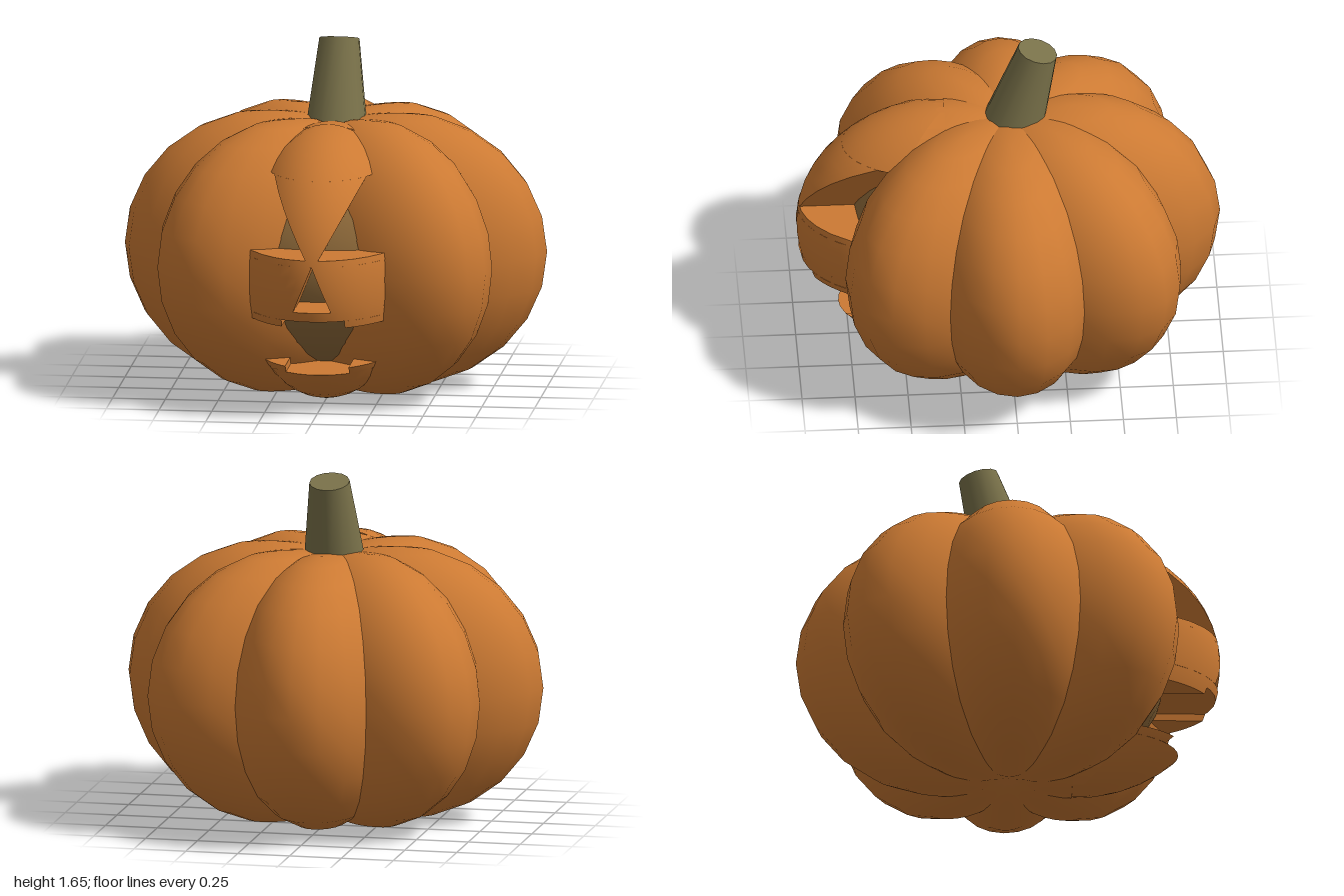
import * as THREE from 'three';

// Each lobe is an ellipsoid pushed out from the axis.
const OFF = 0.3, A = 0.7, H = 0.65, B = 0.43, CY = 0.65;
const skin = new THREE.MeshStandardMaterial({ color: 0xcc7a33, side: THREE.DoubleSide });
const dark = new THREE.MeshStandardMaterial({ color: 0x8f6a3a });
const green = new THREE.MeshStandardMaterial({ color: 0x7a724a });

function lobe(angle, phiStart, phiLength, segments) {
  const geo = new THREE.SphereGeometry(1, segments, 12, phiStart, phiLength);
  geo.scale(A, H, B).translate(OFF, CY, 0).rotateY(angle);
  return new THREE.Mesh(geo, skin);
}

// Front of the carved lobe: depth at (x, y), and its half width at y
const slice = (y) => Math.max(0, 1 - ((y - CY) / H) ** 2);
const depth = (x, y) => OFF + A * Math.sqrt(Math.max(0, slice(y) - (x / B) ** 2));
const edge = (y) => 0.9 * B * Math.sqrt(slice(y));

// One solid slab of the carved lobe between two heights and two side lines
function slab(y0, y1, left, right, rows, cols = 12) {
  const pos = [], nor = [];
  const a0 = Math.asin((y0 - CY) / H), a1 = Math.asin((y1 - CY) / H);
  const point = (i, j) => {
    const y = CY + H * Math.sin(a0 + (a1 - a0) * j / rows);
    const x = THREE.MathUtils.lerp(left(y), right(y), i / cols);
    return new THREE.Vector3(x, y, depth(x, y));
  };
  const round = (p) => new THREE.Vector3(p.x / B ** 2, (p.y - CY) / H ** 2, (p.z - OFF) / A ** 2).normalize();
  const quad = (a, b, c, d, flat) => {
    for (const p of [a, b, c, a, c, d]) {
      pos.push(p.x, p.y, p.z);
      nor.push(...(flat || round(p)).toArray());
    }
  };
  const wall = (a, b) => {
    const back = (p) => new THREE.Vector3(p.x, p.y, OFF);
    const n = new THREE.Vector3(b.y - a.y, a.x - b.x, 0).normalize();
    quad(a, back(a), back(b), b, n);
  };
  for (let j = 0; j < rows; j++) {
    for (let i = 0; i < cols; i++) {
      quad(point(i, j), point(i + 1, j), point(i + 1, j + 1), point(i, j + 1));
    }
    wall(point(cols, j), point(cols, j + 1));
    wall(point(0, j + 1), point(0, j));
  }
  for (let i = 0; i < cols; i++) {
    wall(point(i, 0), point(i + 1, 0));
    wall(point(i + 1, rows), point(i, rows));
  }
  const geo = new THREE.BufferGeometry();
  geo.setAttribute('position', new THREE.Float32BufferAttribute(pos, 3));
  geo.setAttribute('normal', new THREE.Float32BufferAttribute(nor, 3));
  return new THREE.Mesh(geo, skin);
}

export function createModel() {
  const model = new THREE.Group();
  const add = (parent, name, mesh) => {
    mesh.name = name;
    parent.add(mesh);
    return mesh;
  };

  // Seven whole lobes, with the front place left for the face
  for (let k = 1; k < 8; k++) {
    add(model, 'lobe' + k, lobe(-Math.PI / 2 + k * Math.PI / 4, 0, Math.PI * 2, 20));
  }

  // Carved front lobe
  const face = add(model, 'carvedLobe', new THREE.Group());
  add(face, 'carvedLobeRear', lobe(-Math.PI / 2, -Math.PI / 2, Math.PI, 10));
  const full = (name, y0, y1, rows) => add(face, name, slab(y0, y1, (y) => -edge(y), edge, rows));
  const pair = (name, y0, y1, inner, rows) => {
    add(face, name + 'Left', slab(y0, y1, inner, edge, rows, 8));
    add(face, name + 'Right', slab(y0, y1, (y) => -edge(y), (y) => -inner(y), rows, 8));
  };

  full('brow', 1.12, 1.299, 6);
  const ridge = (y) => 0.03 + (y - 0.78) / 1.81;
  add(face, 'eyeDivider', slab(0.78, 1.12, (y) => -ridge(y), ridge, 5));
  full('noseTop', 0.75, 0.78, 1);
  pair('cheek', 0.53, 0.75, (y) => 0.09 * (0.75 - y) / 0.22, 4);
  full('upperLip', 0.485, 0.53, 1);
  pair('upperMouthCorner', 0.45, 0.485, () => 0.15, 1);
  pair('lowerMouthCorner', 0.195, 0.23, () => 0.15, 1);
  full('chin', 0.001, 0.195, 6);

  // Dark core seen through the eyes, nose and mouth
  const core = add(model, 'core', new THREE.Mesh(new THREE.SphereGeometry(1, 32, 20), dark));
  core.scale.set(0.75, 0.58, 0.75);
  core.position.y = CY;

  // Tapered stem leaning to the back
  const stemGeo = new THREE.CylinderGeometry(0.095, 0.155, 0.5, 14);
  stemGeo.translate(0, -0.25, 0);
  const stem = add(model, 'stem', new THREE.Mesh(stemGeo, green));
  stem.position.set(0, 1.625, -0.14);
  stem.rotation.x = -0.27;

  return model;
}
